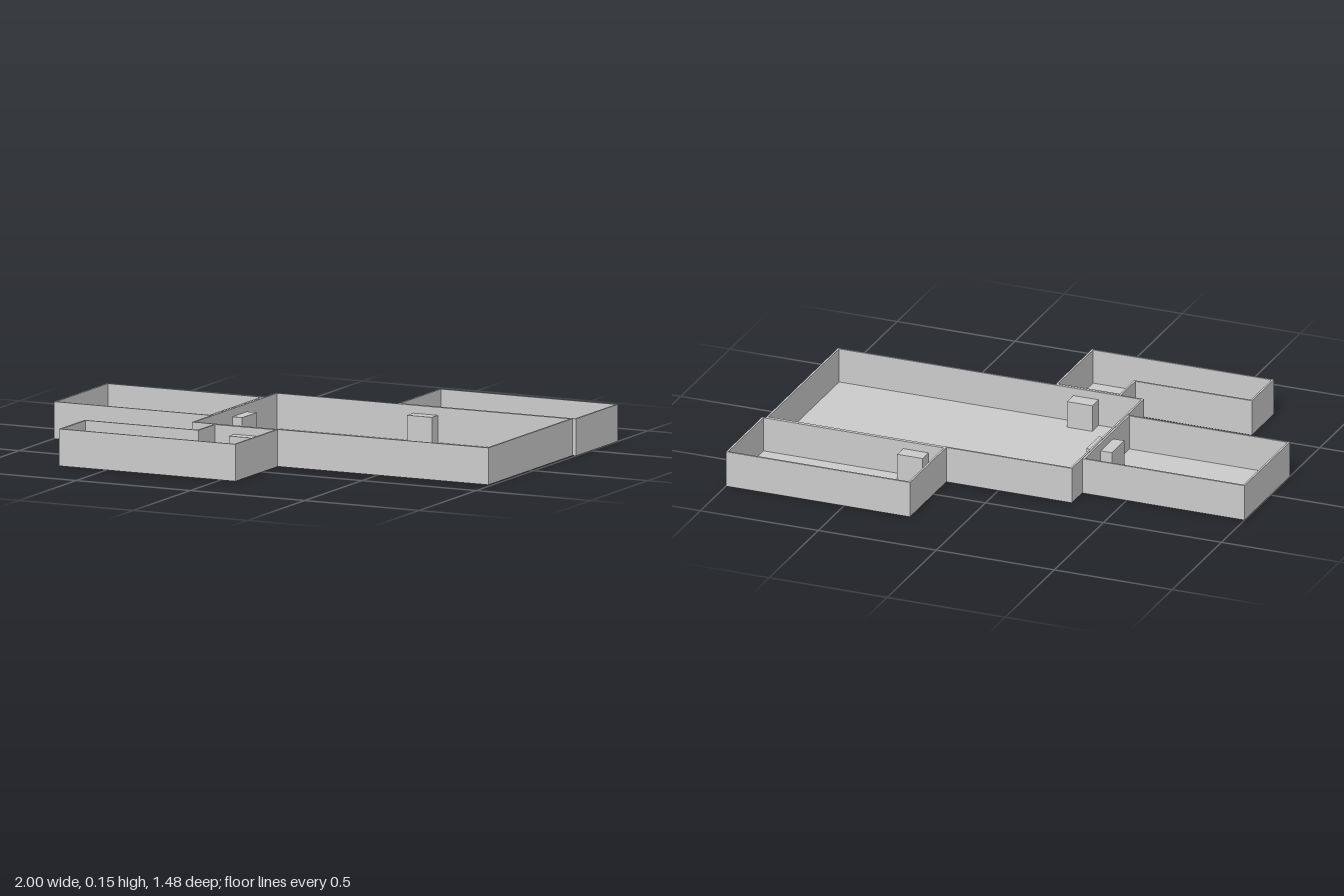
import * as THREE from 'three';

const HEIGHT = 0.147;
const WALL = 0.008;
const FLOOR = 0.006;

const material = new THREE.MeshStandardMaterial({ color: 0xcccccc, flatShading: true });

// Plan outlines as [x, z] corners, counter-clockwise seen from above
const rect = (x0, x1, z0, z1) => [[x0, z1], [x1, z1], [x1, z0], [x0, z0]];
const rooms = {
  mainRoom: rect(-0.312, 0.985, -0.37, 0.364),
  backRoom: rect(0.22, 1, -0.74, -0.37),
  sideRoom: rect(-1, -0.314, -0.266, 0.198),
  cornerRoom: [[-0.708, 0.736], [0.064, 0.736], [0.064, 0.366], [-0.214, 0.366], [-0.214, 0.51], [-0.708, 0.51]],
};

// Doorway blocks straddling the shared walls, as [x, z] centres
const doors = { backDoor: [0.346, -0.374], sideDoor: [-0.315, -0.037], frontDoor: [-0.069, 0.356] };

// Moves every corner of a right-angled outline inwards by d
function inset(points, d) {
  const n = points.length;
  const inward = (a, b) => {
    const dx = b[0] - a[0], dz = b[1] - a[1], l = Math.hypot(dx, dz);
    return [dz / l, -dx / l];
  };
  return points.map((p, i) => {
    const a = inward(points[(i + n - 1) % n], p);
    const b = inward(p, points[(i + 1) % n]);
    return [p[0] + (a[0] + b[0]) * d, p[1] + (a[1] + b[1]) * d];
  });
}

const toVectors = (points) => points.map(([x, z]) => new THREE.Vector2(x, -z));

// Extrudes a plan shape upwards from height y
function slab(name, shape, y, height) {
  const geometry = new THREE.ExtrudeGeometry(shape, { depth: height, bevelEnabled: false });
  geometry.rotateX(-Math.PI / 2);
  geometry.translate(0, y, 0);
  const mesh = new THREE.Mesh(geometry, material);
  mesh.name = name;
  return mesh;
}

// Open-topped room: floor plate with a thin wall around it
function room(name, outline) {
  const group = new THREE.Group();
  group.name = name;
  group.add(slab('floor', new THREE.Shape(toVectors(outline)), 0, FLOOR));
  const ring = new THREE.Shape(toVectors(outline));
  ring.holes.push(new THREE.Path(toVectors(inset(outline, WALL)).reverse()));
  group.add(slab('walls', ring, FLOOR, HEIGHT - FLOOR));
  return group;
}

export function createModel() {
  const model = new THREE.Group();
  model.name = 'floorPlan';
  for (const [name, outline] of Object.entries(rooms)) model.add(room(name, outline));

  const doorHeight = 0.112;
  for (const [name, [x, z]] of Object.entries(doors)) {
    const door = new THREE.Mesh(new THREE.BoxGeometry(0.108, doorHeight, 0.128), material);
    door.position.set(x, FLOOR / 2 + doorHeight / 2, z);
    door.name = name;
    model.add(door);
  }
  return model;
}
